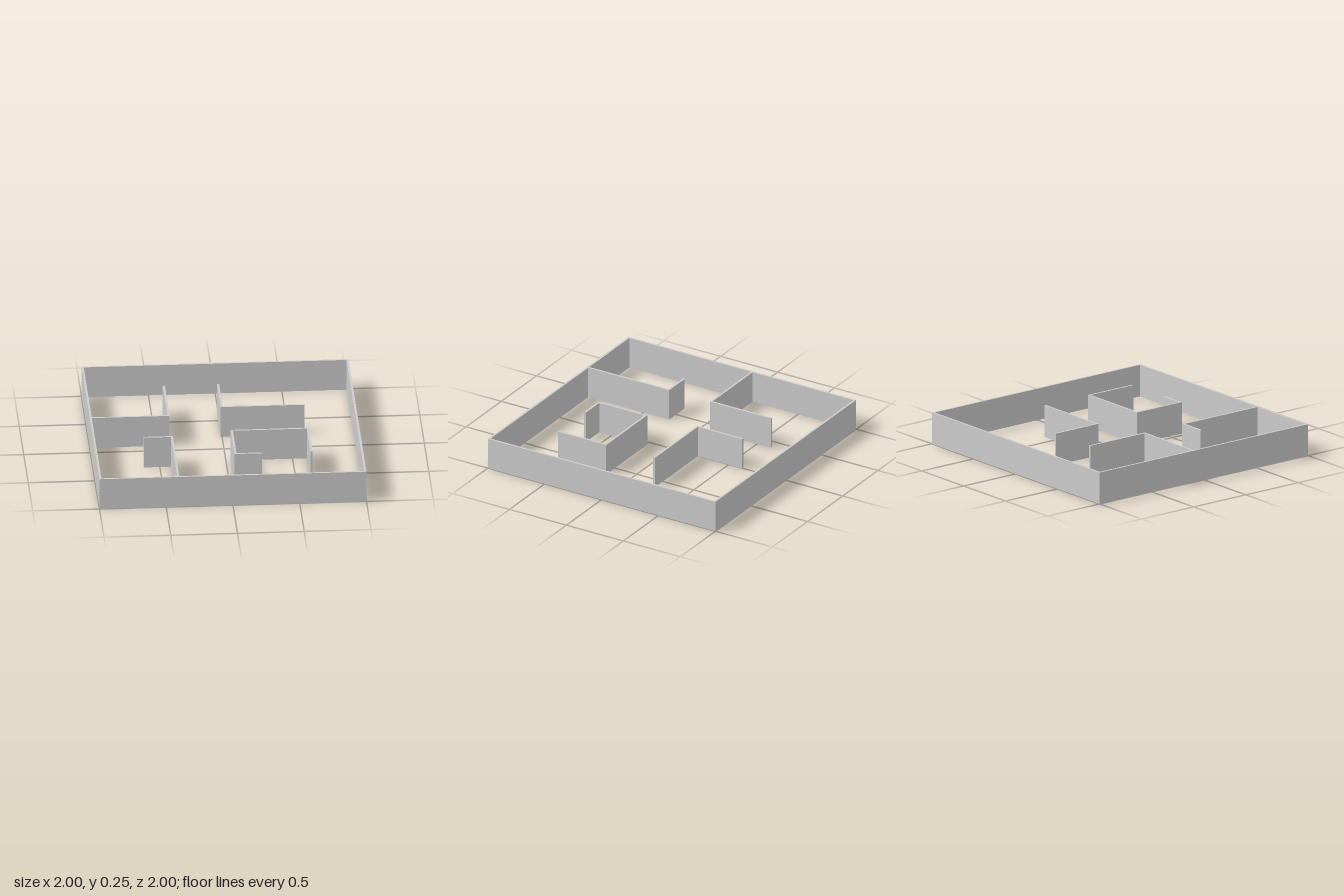
import * as THREE from 'three';

const HEIGHT = 0.245;
const THICK = 0.016;
const material = new THREE.MeshStandardMaterial({ color: 0xcccccc, flatShading: true });

// Raises a flat plan (x, -z) into an upright wall standing on y = 0
function raise(shape, name) {
  const geometry = new THREE.ExtrudeGeometry(shape, { depth: HEIGHT, bevelEnabled: false });
  geometry.rotateX(-Math.PI / 2);
  const mesh = new THREE.Mesh(geometry, material);
  mesh.name = name;
  return mesh;
}

// Wall of constant thickness along an [x, z] centreline, with mitred corners
function wall(name, path) {
  const pts = path.map(([x, z]) => new THREE.Vector2(x, -z));
  const normals = pts.slice(1).map((p, i) => {
    const d = p.clone().sub(pts[i]).normalize();
    return new THREE.Vector2(-d.y, d.x);
  });
  const left = [], right = [];
  pts.forEach((p, i) => {
    const a = normals[Math.max(i - 1, 0)];
    const b = normals[Math.min(i, normals.length - 1)];
    const offset = a.clone().add(b).multiplyScalar(THICK / 2 / (1 + a.dot(b)));
    left.push(p.clone().add(offset));
    right.unshift(p.clone().sub(offset));
  });
  return raise(new THREE.Shape([...left, ...right]), name);
}

const square = (r) => [[-r, -r], [r, -r], [r, r], [-r, r]].map(([x, y]) => new THREE.Vector2(x, y));

export function createModel() {
  const model = new THREE.Group();
  model.name = 'maze';

  // Square outer enclosure
  const plan = new THREE.Shape(square(1));
  plan.holes.push(new THREE.Path(square(1 - THICK).reverse()));
  model.add(raise(plan, 'outerWall'));

  // Inner partitions; those joining the enclosure stop at its inner face
  const edge = 1 - THICK;
  model.add(
    wall('backRightPartition', [[-edge, -0.092], [-0.409, -0.092], [-0.409, -0.62]]),
    wall('backLeftPartition', [[-0.002, -0.62], [-0.002, -0.222], [0.616, -0.222]]),
    wall('frontRightPartition', [[-0.62, 0.281], [-0.409, 0.281], [-0.409, edge]]),
    wall('frontLeftRoom', [[0.241, 0.614], [0.045, 0.614], [0.045, 0.201], [0.614, 0.201], [0.614, 0.616]]),
  );
  return model;
}
